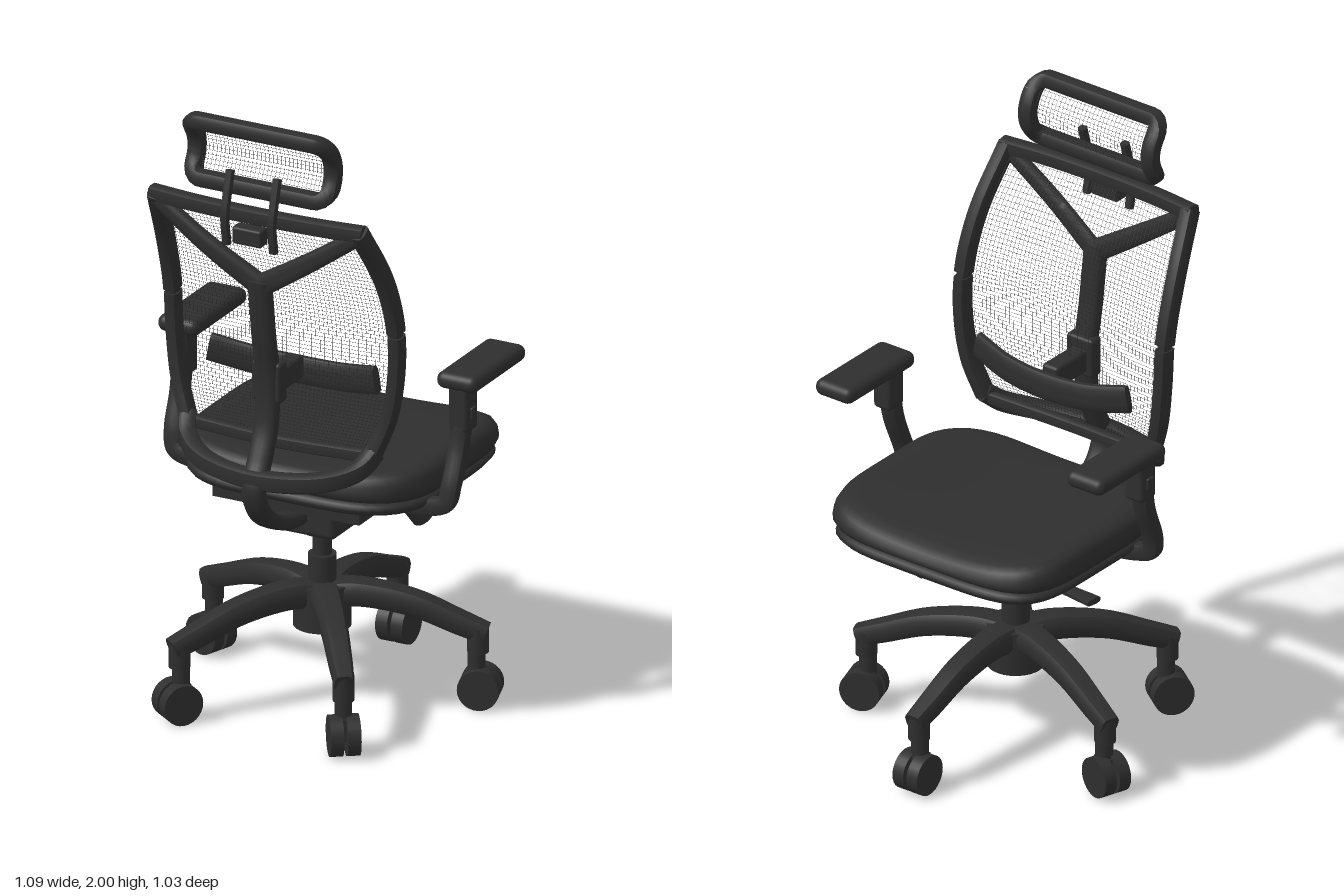
import * as THREE from 'three';
import { mergeVertices, toCreasedNormals } from 'three/addons/utils/BufferGeometryUtils.js';
import { RoundedBoxGeometry } from 'three/addons/geometries/RoundedBoxGeometry.js';

const V = (x, y, z) => new THREE.Vector3(x, y, z);
const X = V(1, 0, 0), Y = V(0, 1, 0), Z = V(0, 0, 1);

const plastic = new THREE.MeshStandardMaterial({ color: 0x2e2e2e });
plastic.name = 'black plastic';
const netting = new THREE.MeshStandardMaterial({ color: 0x222222, side: THREE.DoubleSide });
netting.name = 'mesh thread';

function add(parent, name, geo, pos = [0, 0, 0], mat = plastic) {
  const m = new THREE.Mesh(geo, mat);
  m.name = name;
  m.position.set(...pos);
  parent.add(m);
  return m;
}

// Oval bar swept along a curve; w is measured along ref, h across it
function sweep(points, w, h, ref, { closed = false, steps = 32, sides = 14 } = {}) {
  const curve = new THREE.CatmullRomCurve3(points, closed);
  const val = (f, t) => (typeof f === 'function' ? f(t) : f);
  const pos = [], idx = [];
  for (let i = 0; i <= steps; i++) {
    const t = i / steps, p = curve.getPoint(t), tan = curve.getTangent(t);
    const a = ref.clone().addScaledVector(tan, -ref.dot(tan)).normalize();
    const b = tan.clone().cross(a);
    for (let j = 0; j < sides; j++) {
      const q = (j / sides) * Math.PI * 2, c = Math.cos(q), s = Math.sin(q);
      const k = Math.pow(c ** 4 + s ** 4, -0.25) / 2;
      const v = p.clone().addScaledVector(a, c * k * val(w, t)).addScaledVector(b, s * k * val(h, t));
      pos.push(v.x, v.y, v.z);
    }
  }
  for (let i = 0; i < steps; i++) for (let j = 0; j < sides; j++) {
    const n = (j + 1) % sides, a = i * sides, b = a + sides;
    idx.push(a + j, a + n, b + j, a + n, b + n, b + j);
  }
  if (!closed) for (let j = 1; j < sides - 1; j++) {
    const e = steps * sides;
    idx.push(0, j + 1, j, e, e + j, e + j + 1);
  }
  const g = new THREE.BufferGeometry();
  g.setAttribute('position', new THREE.Float32BufferAttribute(pos, 3));
  g.setIndex(idx);
  return toCreasedNormals(g, 0.8);
}

// Woven net of thin ribbons over a surface f(u, v), u and v in 0..1
function net(f, nu, nv, width) {
  const pos = [], idx = [], seg = 24;
  const thread = (at, across) => {
    for (let i = 0; i <= seg; i++) {
      const p = at(i / seg), n = pos.length / 3;
      for (const s of [-0.5, 0.5]) {
        const q = p.clone().addScaledVector(across, s * width);
        pos.push(q.x, q.y, q.z);
      }
      if (i < seg) idx.push(n, n + 1, n + 2, n + 1, n + 3, n + 2);
    }
  };
  for (let i = 1; i < nu; i++) thread(t => f(i / nu, t), X);
  for (let i = 1; i < nv; i++) thread(t => f(t, i / nv), Y);
  const g = new THREE.BufferGeometry();
  g.setAttribute('position', new THREE.Float32BufferAttribute(pos, 3));
  g.setIndex(idx);
  g.computeVertexNormals();
  return g;
}

// Rounded-square seat layer: a lathe squared off and bent
function seatLayer(profile, hx, hz) {
  let g = new THREE.LatheGeometry(profile.map(p => new THREE.Vector2(...p)), 80);
  const p = g.attributes.position;
  for (let i = 0; i < p.count; i++) {
    const x = p.getX(i), y = p.getY(i), z = p.getZ(i), r = Math.hypot(x, z);
    const k = r < 1e-6 ? 1 : Math.pow(Math.abs(x / r) ** 4.6 + Math.abs(z / r) ** 4.6, -1 / 4.6);
    const u = x * k, w = z * k, back = Math.max(0, (w - 0.4) / 0.6);
    const lift = THREE.MathUtils.clamp((y - 0.76) / 0.06, 0, 1);
    const front = Math.max(0, -w - 0.3);
    p.setXYZ(i, u * hx * (1 - 0.12 * back * back),
      y + lift * (0.03 * u * u - 0.022 - 0.035 * front * front), w * hz - 0.075);
  }
  g.deleteAttribute('uv');
  g.deleteAttribute('normal');
  g = mergeVertices(g, 1e-4);
  g.computeVertexNormals();
  return g;
}

function makeBase() {
  const base = new THREE.Group();
  base.name = 'base';
  base.position.z = 0.03;
  const cyl = (name, r, y0, y1) =>
    add(base, name, new THREE.CylinderGeometry(r, r, y1 - y0, 32), [0, (y0 + y1) / 2, 0]);
  cyl('hub', 0.088, 0.23, 0.37);
  cyl('gasColumnSleeve', 0.043, 0.36, 0.46);
  cyl('gasColumn', 0.029, 0.45, 0.55);
  cyl('columnCollar', 0.065, 0.535, 0.58);
  const legGeo = sweep([V(0, 0.335, -0.03), V(0, 0.343, -0.12), V(0, 0.318, -0.28),
    V(0, 0.265, -0.42), V(0, 0.235, -0.5)], t => 0.1 - 0.04 * t, t => 0.085 - 0.022 * t, X);
  const wheelGeo = new THREE.CylinderGeometry(0.064, 0.064, 0.04, 28).rotateZ(Math.PI / 2);
  for (let i = 0; i < 5; i++) {
    const leg = new THREE.Group();
    leg.name = 'leg' + (i + 1);
    leg.rotation.y = (i * Math.PI * 2) / 5;
    base.add(leg);
    add(leg, 'legArm', legGeo);
    add(leg, 'casterSocket', new THREE.CylinderGeometry(0.033, 0.033, 0.08, 20), [0, 0.215, -0.475]);
    add(leg, 'casterStem', new THREE.CylinderGeometry(0.027, 0.027, 0.1, 20), [0, 0.15, -0.47]);
    add(leg, 'casterAxle', new THREE.BoxGeometry(0.04, 0.07, 0.06), [0, 0.085, -0.475]);
    for (const s of [-1, 1]) add(leg, 'casterWheel', wheelGeo, [s * 0.026, 0.064, -0.482]);
  }
  return base;
}

function makeBackrest() {
  const back = new THREE.Group();
  back.name = 'backrest';
  const edge = [V(0.315, 0.93, 0.29), V(0.357, 1.05, 0.27), V(0.378, 1.2, 0.262),
    V(0.38, 1.35, 0.272), V(0.372, 1.52, 0.33), V(0.345, 1.71, 0.44)];
  const edgeCurve = new THREE.CatmullRomCurve3(edge);
  const part = (a, b) => Array.from({ length: 9 }, (_, i) => edgeCurve.getPoint(a + (b - a) * i / 8));
  for (const s of [-1, 1]) {
    const flip = pts => pts.map(p => V(p.x * s, p.y, p.z));
    add(back, 'lowerSideFrame', sweep(flip(part(0, 0.56)), 0.046, 0.058, X));
    add(back, 'sideFrameJoint', sweep(flip(part(0.55, 0.59)), 0.034, 0.044, X, { steps: 4 }));
    add(back, 'upperSideFrame', sweep(flip(part(0.58, 1)), 0.05, 0.058, X));
    add(back, 'yokeArm', sweep(flip([V(0, 1.465, 0.42), V(0.17, 1.575, 0.44), V(0.345, 1.695, 0.44)]),
      t => 0.07 - 0.02 * t, 0.035, Y));
  }
  add(back, 'topBar', sweep([V(-0.36, 1.705, 0.435), V(-0.2, 1.705, 0.452), V(0, 1.705, 0.458),
    V(0.2, 1.705, 0.452), V(0.36, 1.705, 0.435)], 0.05, 0.05, Y));
  add(back, 'lowerBar', sweep([V(-0.315, 0.925, 0.29), V(0, 0.92, 0.305), V(0.315, 0.925, 0.29)], 0.04, 0.035, Y));
  add(back, 'lowerYoke', sweep([V(-0.318, 0.94, 0.285), V(-0.29, 0.893, 0.34), V(-0.2, 0.862, 0.41), V(0, 0.85, 0.455),
    V(0.2, 0.862, 0.41), V(0.29, 0.893, 0.34), V(0.318, 0.94, 0.285)], 0.06, 0.055, Y, { steps: 48 }));
  add(back, 'spine', sweep([V(0, 1.485, 0.425), V(0, 1.3, 0.4), V(0, 1.15, 0.375), V(0, 1, 0.385), V(0, 0.9, 0.425),
    V(0, 0.82, 0.462), V(0, 0.745, 0.435), V(0, 0.68, 0.355), V(0, 0.645, 0.25), V(0, 0.635, 0.15)],
  0.074, 0.048, X, { steps: 60 }));
  add(back, 'backNetting', net((u, v) => {
    const p = edgeCurve.getPoint(v), k = u * 2 - 1;
    return V(p.x * k, p.y, p.z + 0.018 * (1 - k * k));
  }, 54, 60, 0.0009), [0, 0, 0], netting);

  // Lumbar support
  add(back, 'lumbarSlider', new RoundedBoxGeometry(0.1, 0.13, 0.05, 3, 0.012), [0, 1.14, 0.365]);
  add(back, 'lumbarConnector', new RoundedBoxGeometry(0.06, 0.075, 0.17, 3, 0.012), [0, 1.13, 0.28]);
  add(back, 'lumbarPad', sweep([V(-0.285, 1.14, 0.215), V(-0.15, 1.115, 0.188), V(0, 1.108, 0.178),
    V(0.15, 1.115, 0.188), V(0.285, 1.14, 0.215)], 0.088, 0.03, Y));
  return back;
}

function makeHeadrest() {
  const head = new THREE.Group();
  head.name = 'headrest';
  const depth = y => 0.39 + 5.8 * (y - 1.87) ** 2;
  const a = 0.232, y0 = 1.782, y1 = 1.972, r = 0.035;
  const outline = new THREE.Shape();
  outline.absarc(a - r, y1 - r, r, 0, Math.PI / 2);
  outline.absarc(r - a, y1 - r, r, Math.PI / 2, Math.PI);
  outline.absarc(r - a, y0 + r, r, Math.PI, Math.PI * 1.5);
  outline.absarc(a - r, y0 + r, r, Math.PI * 1.5, Math.PI * 2);
  outline.closePath();
  const ring = outline.getSpacedPoints(72).slice(0, -1).map(p => V(p.x, p.y, depth(p.y)));
  add(head, 'headrestFrame', sweep(ring, 0.05, 0.05, Z, { closed: true, steps: 96 }));
  add(head, 'headrestNetting', net((u, v) => {
    const y = y0 + (y1 - y0) * v;
    return V((u * 2 - 1) * a, y, depth(y));
  }, 34, 15, 0.0009), [0, 0, 0], netting);
  for (const s of [-1, 1]) add(head, 'headrestRod', sweep([V(s * 0.08, 1.84, 0.462), V(s * 0.08, 1.77, 0.482),
    V(s * 0.08, 1.7, 0.497), V(s * 0.08, 1.61, 0.485)], 0.026, 0.024, X));
  add(head, 'headrestBracket', new RoundedBoxGeometry(0.1, 0.055, 0.05, 3, 0.008), [0, 1.652, 0.487]);
  return head;
}

export function createModel() {
  const chair = new THREE.Group();
  chair.name = 'officeChair';
  chair.add(makeBase(), makeBackrest(), makeHeadrest());

  // Seat
  add(chair, 'seatPan', seatLayer([[0, 0.708], [0.9, 0.708], [0.97, 0.715], [1, 0.73], [0.99, 0.745],
    [0.95, 0.752], [0, 0.752]], 0.412, 0.368));
  add(chair, 'seatCushion', seatLayer([[0, 0.75], [0.92, 0.75], [0.975, 0.757], [1, 0.78], [0.99, 0.812], [0.96, 0.835],
    [0.9, 0.848], [0.8, 0.852], [0.6, 0.852], [0.4, 0.852], [0.2, 0.852], [0, 0.852]], 0.424, 0.37));

  // Mechanism and controls
  add(chair, 'mountPlate', new THREE.BoxGeometry(0.5, 0.034, 0.5), [0, 0.695, 0.01]);
  add(chair, 'tiltMechanism', new RoundedBoxGeometry(0.255, 0.1, 0.285, 3, 0.018), [0, 0.627, 0.053]);
  add(chair, 'heightLever', sweep([V(-0.1, 0.643, -0.06), V(-0.25, 0.643, -0.11), V(-0.42, 0.643, -0.13)],
    0.02, t => 0.02 + 0.035 * t, Y));
  add(chair, 'tensionArm', sweep([V(0.1, 0.63, -0.04), V(0.18, 0.64, -0.09), V(0.205, 0.605, -0.13)], 0.03, 0.03, Y));
  const knob = add(chair, 'tensionKnob', new THREE.CylinderGeometry(0.034, 0.04, 0.07, 20), [0.222, 0.58, -0.155]);
  knob.quaternion.setFromUnitVectors(Y, V(-0.35, 0.75, 0.55).normalize());

  // Armrests
  for (const s of [-1, 1]) {
    const arm = new THREE.Group();
    arm.name = s > 0 ? 'leftArmrest' : 'rightArmrest';
    chair.add(arm);
    add(arm, 'armPad', new RoundedBoxGeometry(0.14, 0.054, 0.335, 4, 0.026), [s * 0.475, 1.112, -0.093]);
    add(arm, 'armSleeve', new RoundedBoxGeometry(0.066, 0.15, 0.074, 3, 0.014), [s * 0.477, 1.025, 0.025]);
    add(arm, 'armButton', new RoundedBoxGeometry(0.02, 0.04, 0.03, 2, 0.006), [s * 0.508, 1.01, 0.025]);
    add(arm, 'armPost', sweep([V(s * 0.477, 1, 0.028), V(s * 0.475, 0.9, 0.048), V(s * 0.472, 0.79, 0.09),
      V(s * 0.46, 0.735, 0.1), V(s * 0.41, 0.715, 0.1), V(s * 0.34, 0.706, 0.09), V(s * 0.22, 0.7, 0.08)],
    t => 0.058 - 0.022 * t, 0.056, Z, { steps: 48 }));
  }
  return chair;
}
